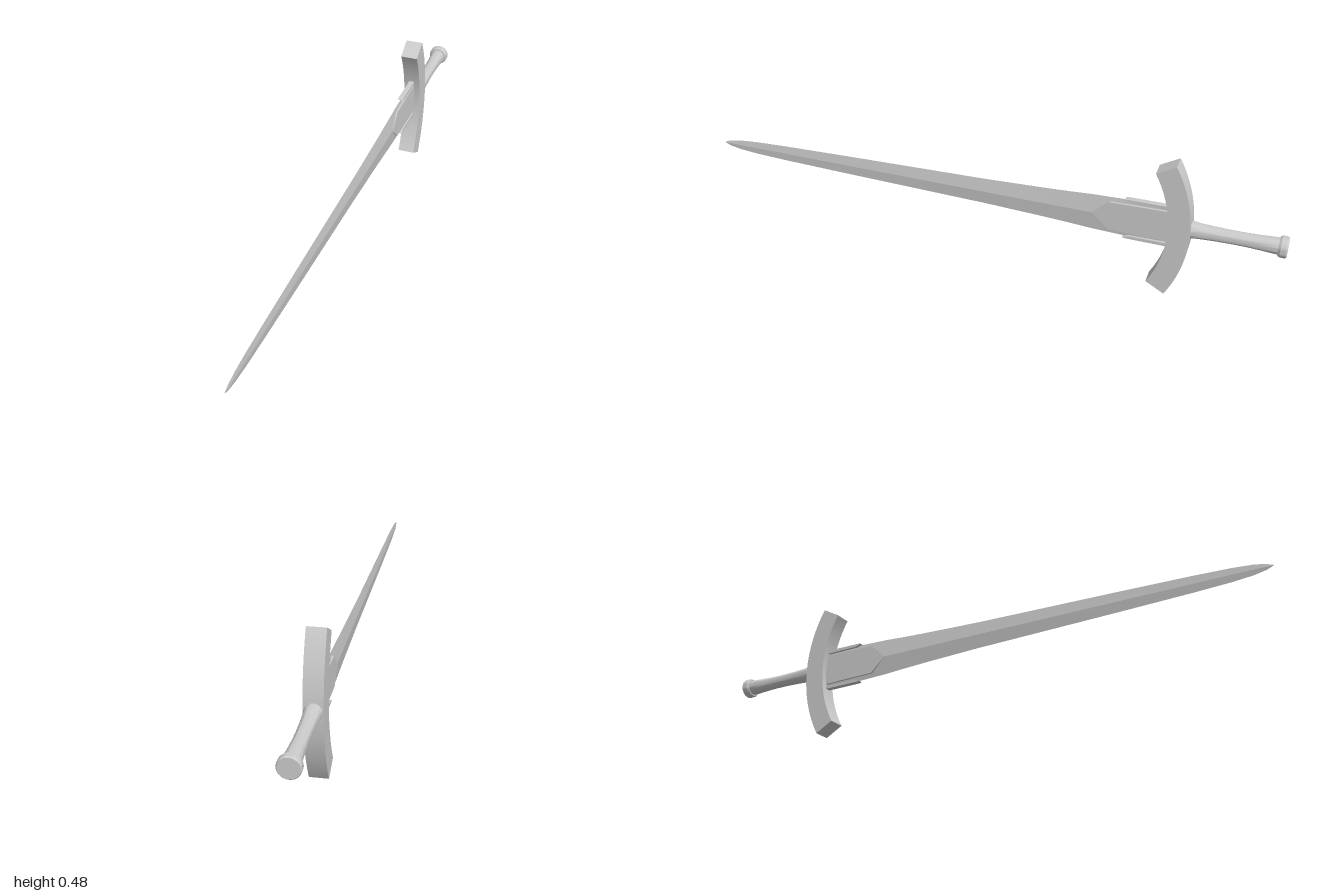
import * as THREE from 'three';
import { toCreasedNormals } from 'three/addons/utils/BufferGeometryUtils.js';

const AXIS_Y = 0.25; // height of the sword's long axis
const material = new THREE.MeshStandardMaterial({ color: 0xcccccc });

function part(name, geometry) {
  const mesh = new THREE.Mesh(geometry, material);
  mesh.name = name;
  return mesh;
}

// Extrudes a (z, y) outline across x, centred on x = 0.
function slab(shape, width) {
  const geometry = new THREE.ExtrudeGeometry(shape, { depth: width, bevelEnabled: false, curveSegments: 32 });
  geometry.translate(0, 0, -width / 2);
  geometry.rotateY(-Math.PI / 2);
  return toCreasedNormals(geometry, 0.5);
}

function polygon(points) {
  return new THREE.Shape(points.map(([z, y]) => new THREE.Vector2(z, y)));
}

// Blade: diamond cross-sections [z, half height, half thickness] joined in a loop.
function bladeGeometry() {
  const sections = [
    [-0.66, 0.062, 0.008], [-0.5, 0.07, 0.008], [-0.375, 0.066, 0.0075],
    [-0.3, 0.061, 0.007], [-0.2, 0.056, 0.0065], [0, 0.048, 0.006],
    [0.25, 0.042, 0.005], [0.5, 0.036, 0.004], [0.75, 0.029, 0.003],
    [0.87, 0.024, 0.0025], [0.94, 0.018, 0.002], [0.98, 0.01, 0.0015], [1, 0.0015, 0.0005],
  ];
  const positions = [];
  const index = [];
  sections.forEach(([z, h, t]) => positions.push(t, 0, z, 0, h, z, -t, 0, z, 0, -h, z));
  for (let i = 0; i < sections.length - 1; i++) {
    for (let j = 0; j < 4; j++) {
      const a = i * 4 + j;
      const b = i * 4 + ((j + 1) % 4);
      index.push(a, b, b + 4, a, b + 4, a + 4);
    }
  }
  const last = (sections.length - 1) * 4;
  index.push(0, 2, 1, 0, 3, 2, last, last + 1, last + 2, last, last + 2, last + 3);
  const geometry = new THREE.BufferGeometry();
  geometry.setAttribute('position', new THREE.Float32BufferAttribute(positions, 3));
  geometry.setIndex(index);
  return toCreasedNormals(geometry, 0.2);
}

// Crossguard: a bar bent along an arc, with radially cut ends.
function guardGeometry() {
  const spread = 0.515;
  const centreZ = -0.21;
  const shape = new THREE.Shape();
  shape.absarc(centreZ, 0, 0.49, Math.PI - spread, Math.PI + spread, false);
  shape.absarc(centreZ, 0, 0.418, Math.PI + spread, Math.PI - spread, true);
  shape.closePath();
  return slab(shape, 0.06);
}

// Grip and pommel: one turned profile each, [radius, z].
function turned(profile) {
  const geometry = new THREE.LatheGeometry(profile.map(([r, z]) => new THREE.Vector2(r, z)), 32);
  geometry.rotateX(Math.PI / 2);
  return toCreasedNormals(geometry, 0.5);
}

export function createModel() {
  const sword = new THREE.Group();
  sword.name = 'sword';

  const blade = part('blade', bladeGeometry());
  blade.position.y = AXIS_Y;
  sword.add(blade);

  // Pointed plate over the base of the blade
  const plate = part('basePlate', slab(polygon([
    [-0.64, -0.056], [-0.43, -0.052], [-0.375, 0], [-0.43, 0.052], [-0.64, 0.056],
  ]), 0.017));
  plate.position.y = AXIS_Y;
  sword.add(plate);

  // Rails along both edges of the blade base
  for (const s of [1, -1]) {
    const outline = [[-0.625, 0.063], [-0.5, 0.064], [-0.48, 0.072], [-0.49, 0.074], [-0.625, 0.075]];
    const rail = part(s > 0 ? 'upperRail' : 'lowerRail', slab(polygon(outline.map(([z, y]) => [z, y * s])), 0.019));
    rail.position.y = AXIS_Y;
    sword.add(rail);
  }

  const guard = part('crossguard', guardGeometry());
  guard.position.y = 0.2435;
  sword.add(guard);

  const grip = part('grip', turned([
    [0, -0.98], [0.027, -0.98], [0.027, -0.965], [0.0245, -0.92], [0.0225, -0.87],
    [0.0225, -0.82], [0.0235, -0.77], [0.026, -0.72], [0.028, -0.705], [0.028, -0.68], [0, -0.68],
  ]));
  grip.position.y = AXIS_Y + 0.002;
  sword.add(grip);

  const pommel = part('pommel', turned([
    [0, -1], [0.032, -1], [0.035, -0.996], [0.035, -0.979], [0.031, -0.972], [0, -0.972],
  ]));
  pommel.position.y = AXIS_Y + 0.002;
  sword.add(pommel);

  return sword;
}
